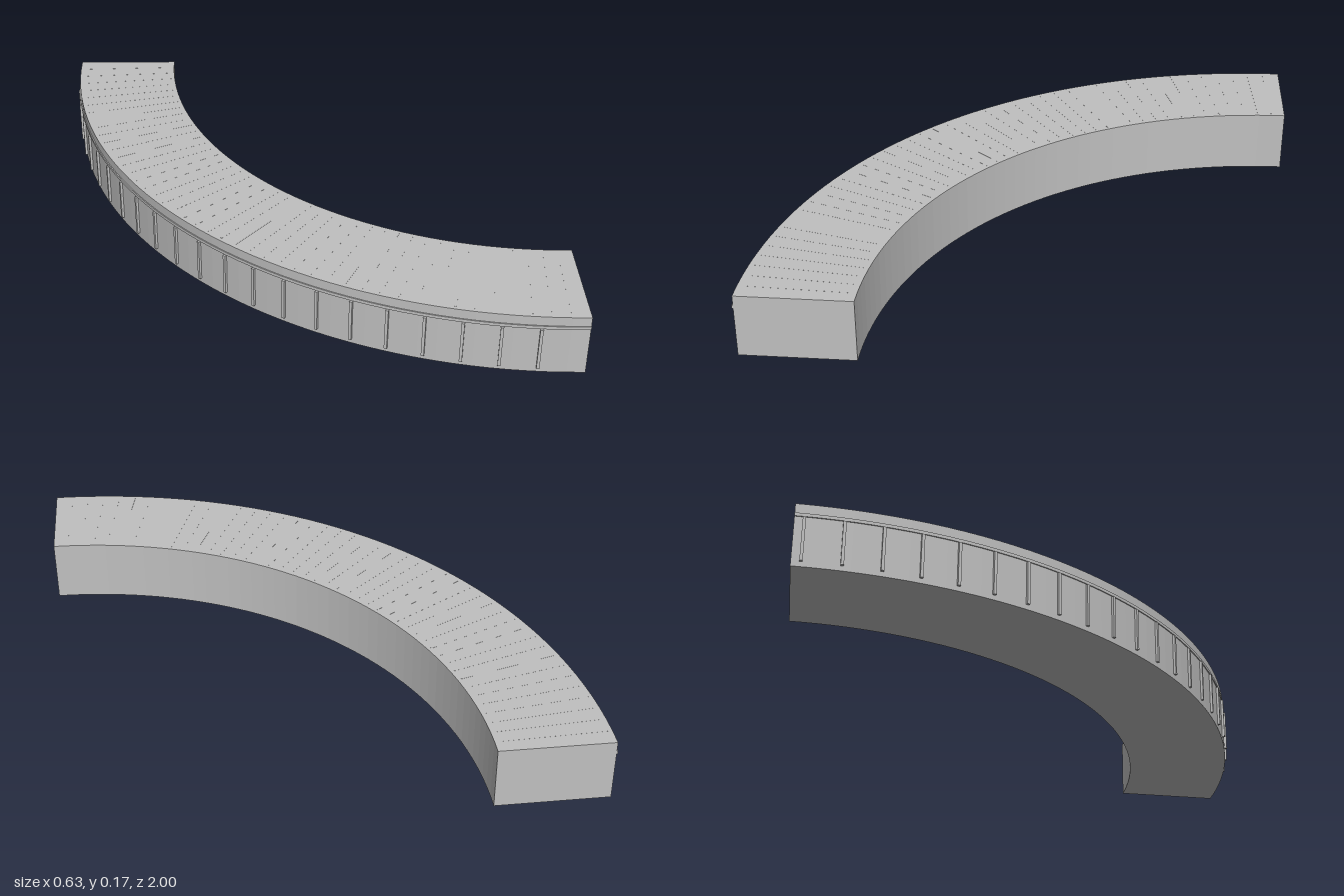
import * as THREE from 'three';

const CX = 1.1;          // centre of the quarter-circle arc
const INNER = 1.11, OUTER = 1.411, HEIGHT = 0.174;

// Ring sector, facing -x and spanning 45 degrees either side
function arcSlab(inner, outer, y0, y1) {
  const a = Math.PI * 0.75, b = Math.PI * 1.25;
  const shape = new THREE.Shape();
  shape.absarc(CX, 0, outer, a, b, false);
  shape.absarc(CX, 0, inner, b, a, true);
  const geo = new THREE.ExtrudeGeometry(shape, { depth: y1 - y0, bevelEnabled: false, curveSegments: 23 });
  geo.rotateX(-Math.PI / 2);
  geo.translate(0, y0, 0);
  return geo;
}

export function createModel() {
  const group = new THREE.Group();
  const grey = new THREE.MeshStandardMaterial({ color: 0xc0c0c0 });
  grey.name = 'light grey';

  const add = (name, geo) => {
    const mesh = new THREE.Mesh(geo, grey);
    mesh.name = name;
    group.add(mesh);
    return mesh;
  };

  // Place a box on the arc; positive degrees lie toward +z
  const place = (mesh, radius, y, degrees) => {
    const t = THREE.MathUtils.degToRad(degrees);
    mesh.position.set(CX - radius * Math.cos(t), y, radius * Math.sin(t));
    mesh.rotation.y = t;
  };

  // Curved body and the narrow trim band on its outer wall
  add('curvedBody', arcSlab(INNER, OUTER, 0, HEIGHT));
  add('trimBand', arcSlab(OUTER - 0.01, OUTER + 0.003, 0.138, 0.147));

  // Upright ribs along the outer wall
  const ribGeo = new THREE.BoxGeometry(0.012, 0.122, 0.008);
  for (let deg = -44; deg <= 40; deg += 4) {
    place(add('outerRib', ribGeo), OUTER + 0.001, 0.075, deg);
  }

  // Fine radial strips, almost flush with the top
  const stripGeo = new THREE.BoxGeometry(INNER - OUTER + 0.58, 0.001, 0.004);
  for (let deg = -43; deg <= 43; deg += 2) {
    place(add('topStrip', stripGeo), (INNER + OUTER) / 2, HEIGHT - 0.0003, deg);
  }

  return group;
}
